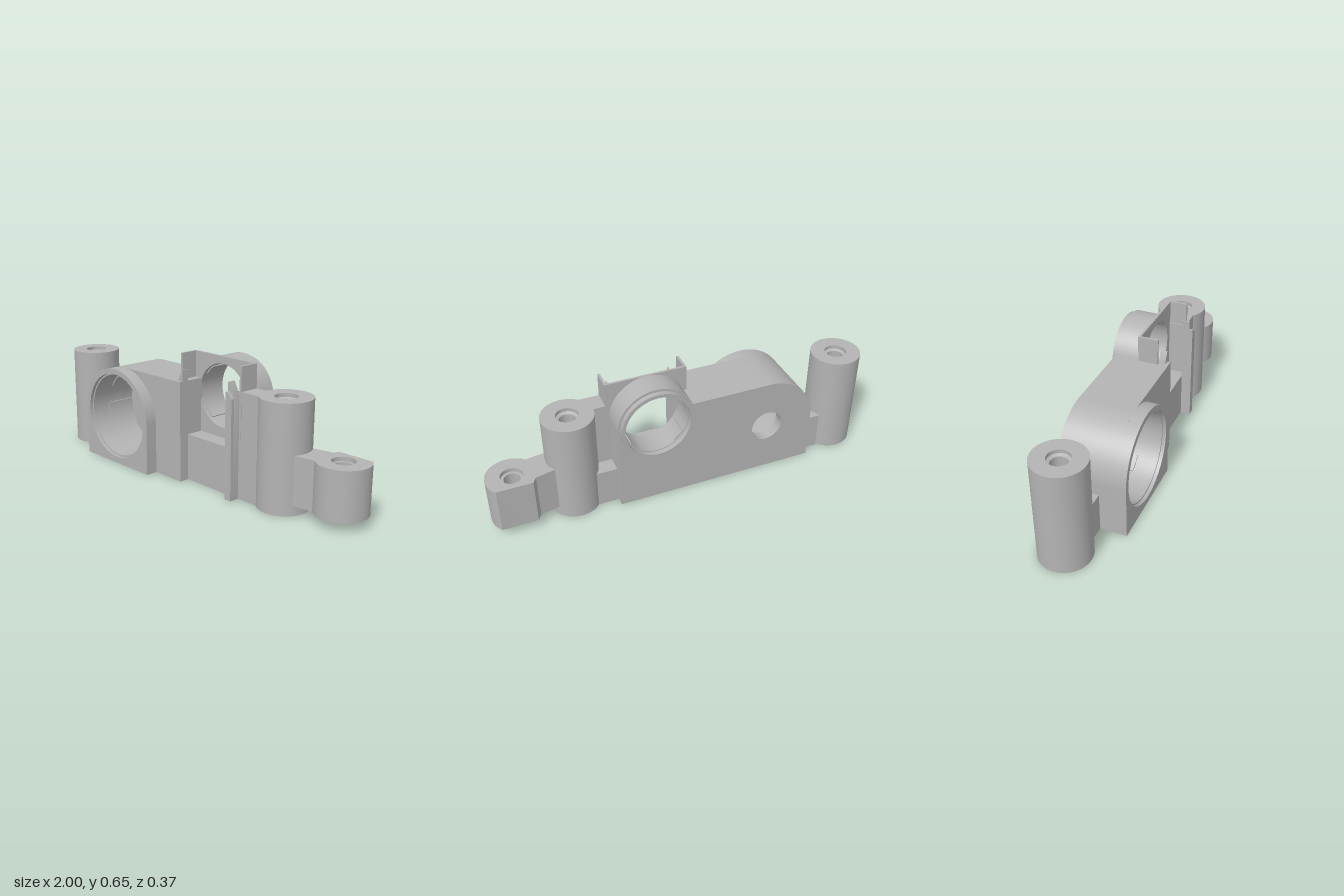
import * as THREE from 'three';
import { toCreasedNormals } from 'three/addons/utils/BufferGeometryUtils.js';

const BORE = [-0.425, 0.262];   // large bore centre
const CUP = [0.174, 0.453];     // small ring centre

function circle(x, y, r) {
  const p = new THREE.Path();
  p.absarc(x, y, r, 0, Math.PI * 2, true);
  return p;
}

function polygon(points) {
  return new THREE.Shape(points.map(([x, y]) => new THREE.Vector2(x, y)));
}

function disc(x, y, r) {
  const s = new THREE.Shape();
  s.absarc(x, y, r, 0, Math.PI * 2, false);
  return s;
}

export function createModel() {
  const model = new THREE.Group();
  model.name = 'bearingBracket';
  const grey = new THREE.MeshStandardMaterial({ color: 0xb3b3b3 });
  grey.name = 'grey';

  const add = (name, geometry) => {
    const mesh = new THREE.Mesh(geometry, grey);
    mesh.name = name;
    model.add(mesh);
    return mesh;
  };

  // Extrude a shape, with circular holes, from z0 to z1
  const extrude = (shape, z0, z1, holes = []) => {
    shape.holes = holes.map((h) => circle(...h));
    const g = new THREE.ExtrudeGeometry(shape, { depth: z1 - z0, bevelEnabled: false, curveSegments: 40 });
    g.translate(0, 0, z0);
    return toCreasedNormals(g, 0.5);
  };
  const slab = (name, shape, z0, z1, holes) => add(name, extrude(shape, z0, z1, holes));

  // Box given by its limits
  const box = (name, x0, x1, y0, y1, z0, z1) => {
    const g = new THREE.BoxGeometry(x1 - x0, y1 - y0, z1 - z0);
    g.translate((x0 + x1) / 2, (y0 + y1) / 2, (z0 + z1) / 2);
    return add(name, g);
  };

  // Arched outline around the large bore, flat on the right
  const archOutline = (right, top) => {
    const s = new THREE.Shape();
    s.moveTo(-0.68, 0);
    s.lineTo(right, 0);
    if (top) {
      s.lineTo(right, 0.517);
      s.lineTo(BORE[0], 0.517);
      s.absarc(...BORE, 0.255, Math.PI / 2, Math.PI, false);
    } else {
      s.absarc(...BORE, 0.255, 0, Math.PI, false);
    }
    s.closePath();
    return s;
  };

  // Full back outline: arch, flat top and small ring housing
  const backOutline = () => {
    const s = new THREE.Shape();
    s.moveTo(-0.68, 0);
    s.lineTo(0.37, 0);
    s.absarc(...CUP, 0.196, 0, Math.PI - 0.333, false);
    s.lineTo(BORE[0], 0.517);
    s.absarc(...BORE, 0.255, Math.PI / 2, Math.PI, false);
    s.closePath();
    return s;
  };

  // Body in layers from back to front
  const cupHole = [...CUP, 0.161];
  slab('bodyBack', backOutline(), -0.156, -0.1, [[...BORE, 0.083], cupHole]);
  slab('bodyMiddle', backOutline(), -0.1, -0.032, [[...BORE, 0.22], cupHole]);
  slab('bodyFront', archOutline(0.018, true), -0.032, 0.12, [[...BORE, 0.22]]);
  slab('boreCollar', archOutline(-0.17, false), 0.12, 0.165, [[...BORE, 0.22]]);
  slab('boreLip', archOutline(-0.17, false), 0.165, 0.183, [[...BORE, 0.228]]);

  // Rear rim of the small ring
  slab('ringRim', disc(...CUP, 0.184), -0.182, -0.156, [[...CUP, 0.166]]);

  // Thin raised pads on the bore walls
  const pads = (name, [cx, cy], r, z0, z1, angles) => {
    for (const a of angles) {
      const s = new THREE.Shape();
      s.absarc(cx, cy, r + 0.002, a - 0.2, a + 0.2, false);
      s.absarc(cx, cy, r - 0.006, a + 0.2, a - 0.2, true);
      s.closePath();
      slab(name, s, z0, z1);
    }
  };
  pads('borePad', BORE, 0.22, -0.1, 0.06, [0.5, 2.4, 3.3, 5.4]);
  pads('ringPad', CUP, 0.161, -0.15, -0.04, [0.8, 2.35, 3.9, 5.5]);

  // Upright plate with forward side flanges around the small ring
  const plate = polygon([[-0.03, 0.2], [0.385, 0.2], [0.385, 0.65], [-0.03, 0.65]]);
  slab('ringPlate', plate, -0.032, -0.02, [cupHole]);
  for (const x of [-0.03, 0.373]) {
    box('plateFlange', x, x + 0.012, 0.3, 0.65, -0.02, 0.07);
  }

  // Lower wall of the bay, its right wall and the pointed guide ribs
  box('bayWall', 0.018, 0.37, 0, 0.24, -0.032, 0.068);
  box('baySide', 0.365, 0.49, 0, 0.53, -0.032, 0.068);
  slab('leftGuide', polygon([[-0.012, 0.45], [0.018, 0.45], [0.018, 0.575], [0.012, 0.575], [-0.012, 0.52]]), 0.068, 0.103);
  slab('rightGuide', polygon([[0.332, 0], [0.371, 0], [0.371, 0.51], [0.338, 0.575], [0.332, 0.575]]), 0.066, 0.103);
  slab('rightGuideFront', polygon([[0.332, 0], [0.371, 0], [0.371, 0.5], [0.345, 0.53], [0.332, 0.53]]), 0.103, 0.12);

  // Screw posts with holes chamfered at both ends
  for (const [name, x] of [['leftPost', -0.872], ['rightPost', 0.572]]) {
    const profile = [[0.04, 0.025], [0.055, 0], [0.128, 0], [0.128, 0.53], [0.055, 0.53], [0.055, 0.512], [0.04, 0.505], [0.04, 0.025]];
    const g = new THREE.LatheGeometry(profile.map(([r, y]) => new THREE.Vector2(r, y)), 48);
    add(name, toCreasedNormals(g, 0.5)).position.set(x, 0, -0.028);
  }

  // Low webs joining the posts to the body
  box('leftWeb', -0.765, -0.66, 0, 0.2, -0.113, 0.05);
  box('rightWeb', 0.36, 0.475, 0, 0.2, -0.113, 0.05);

  // Side lug with arm, flattened at the back (plan view, y is -z)
  const lugOutline = () => {
    const s = new THREE.Shape();
    s.moveTo(0.672, 0.105);
    s.lineTo(0.672, -0.038);
    s.lineTo(0.78, -0.022);
    s.absarc(0.873, 0.07, 0.127, -2.36, 0.75, false);
    s.lineTo(0.96, 0.156);
    s.lineTo(0.79, 0.156);
    s.lineTo(0.77, 0.125);
    s.closePath();
    return s;
  };
  for (const [y0, y1, r] of [[0.05, 0.07, 0.055], [0.07, 0.27, 0.04], [0.27, 0.29, 0.055]]) {
    const g = extrude(lugOutline(), y0, y1, [[0.873, 0.07, r]]);
    g.rotateX(-Math.PI / 2);
    add('sideLug', g);
  }

  return model;
}
